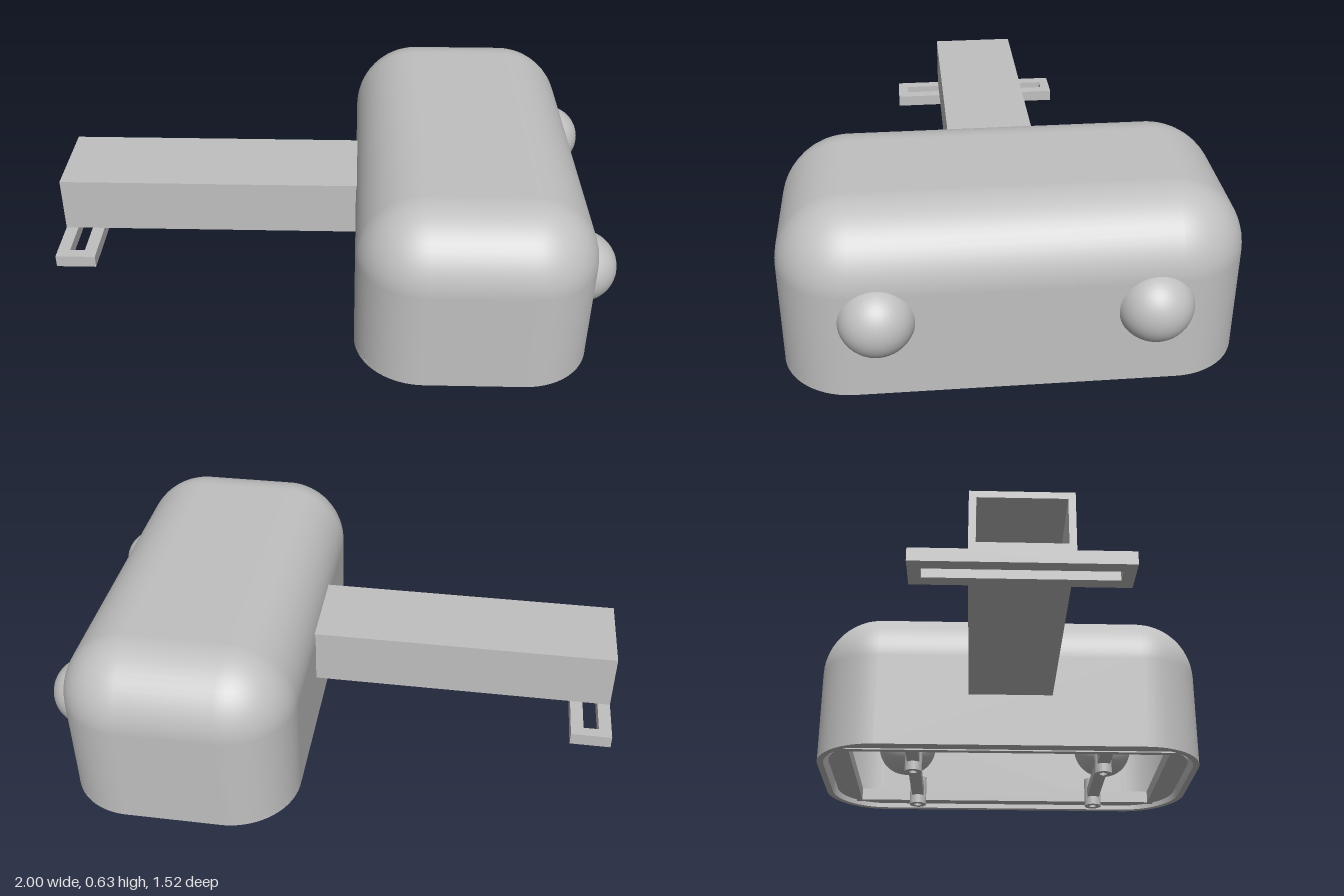
import * as THREE from 'three';

const grey = new THREE.MeshStandardMaterial({ color: 0xc0c0c0 });
grey.name = 'light grey';

const CX = 0.5; // body centre in x
const HX = 0.41, HZ = 0.762, R = 0.24; // body half sizes and corner radius
const BOTTOM = 0.017, ARC_Y = 0.392;

function add(parent, name, geometry, x = 0, y = 0, z = 0) {
  const mesh = new THREE.Mesh(geometry, grey);
  mesh.name = name;
  mesh.position.set(x, y, z);
  parent.add(mesh);
  return mesh;
}

// Open-bottomed rounded dome; inward flips it to form the inner skin
function domeGeometry(radius, inward) {
  const N = 14, M = 14, pos = [], nor = [], idx = [], s = inward ? -1 : 1;
  const cols = 4 * (N + 1);
  for (let row = 0; row <= M + 1; row++) {
    const a = Math.max(0, row - 1) / M * Math.PI / 2;
    for (let c = 0; c < 4; c++) {
      const cx = (c === 0 || c === 3 ? 1 : -1) * (HX - R);
      const cz = (c < 2 ? 1 : -1) * (HZ - R);
      for (let i = 0; i <= N; i++) {
        const t = (c + i / N) * Math.PI / 2;
        const n = [Math.cos(t) * Math.cos(a), Math.sin(a), Math.sin(t) * Math.cos(a)];
        pos.push(cx + radius * n[0], row === 0 ? BOTTOM : ARC_Y + radius * n[1], cz + radius * n[2]);
        nor.push(s * n[0], s * n[1], s * n[2]);
      }
    }
  }
  const tri = (a, b, c) => (inward ? idx.push(a, c, b) : idx.push(a, b, c));
  for (let row = 0; row <= M; row++) {
    for (let i = 0; i < cols; i++) {
      const a = row * cols + i, b = row * cols + (i + 1) % cols;
      tri(a, a + cols, b);
      tri(b, a + cols, b + cols);
    }
  }
  // flat roof between the four corner centres
  const top = (M + 1) * cols, k = N + 1;
  tri(top, top + 2 * k, top + k);
  tri(top, top + 3 * k, top + 2 * k);
  const g = new THREE.BufferGeometry();
  g.setAttribute('position', new THREE.Float32BufferAttribute(pos, 3));
  g.setAttribute('normal', new THREE.Float32BufferAttribute(nor, 3));
  g.setIndex(idx);
  return g;
}

// Rounded rectangle outline
function outline(Type, hx, hy, r) {
  const p = new Type();
  if (r === 0) {
    p.moveTo(-hx, -hy).lineTo(hx, -hy).lineTo(hx, hy).lineTo(-hx, hy);
  } else {
    p.absarc(hx - r, hy - r, r, 0, Math.PI / 2);
    p.absarc(r - hx, hy - r, r, Math.PI / 2, Math.PI);
    p.absarc(r - hx, r - hy, r, Math.PI, Math.PI * 1.5);
    p.absarc(hx - r, r - hy, r, Math.PI * 1.5, Math.PI * 2);
  }
  p.closePath();
  return p;
}

// Extruded frame from an outer and an inner outline
function frame(outer, holes, depth) {
  const shape = outline(THREE.Shape, ...outer);
  for (const h of holes) shape.holes.push(outline(THREE.Path, ...h));
  return new THREE.ExtrudeGeometry(shape, { depth, bevelEnabled: false, curveSegments: 14 });
}

export function createModel() {
  const model = new THREE.Group();
  model.name = 'sensorHousing';

  // Hollow housing
  const body = new THREE.Group();
  body.name = 'housing';
  body.position.x = CX;
  model.add(body);
  const wall = 0.025;
  add(body, 'outerShell', domeGeometry(R, false));
  add(body, 'innerShell', domeGeometry(R - wall, true));
  add(body, 'bottomRim', frame([HX, HZ, R], [[HX - wall, HZ - wall, R - wall]], 0.012), 0, BOTTOM + 0.012)
    .rotation.x = Math.PI / 2;

  // Recessed base ledge and its rectangular frame
  add(body, 'baseLedge', frame([0.365, 0.717, 0.195], [[0.315, 0.64, 0]], 0.02), 0, 0.05)
    .rotation.x = Math.PI / 2;
  add(body, 'baseFrame', frame([0.325, 0.65, 0], [[0.3, 0.625, 0]], 0.05), 0, 0.075)
    .rotation.x = Math.PI / 2;

  // Cross bars with hollow screw bosses
  const boss = [[0.016, 0], [0.035, 0], [0.035, 0.12], [0.016, 0.12], [0.016, 0]]
    .map(([x, y]) => new THREE.Vector2(x, y));
  const bossGeometry = new THREE.LatheGeometry(boss, 24).toNonIndexed();
  bossGeometry.computeVertexNormals();
  for (const z of [-0.382, 0.382]) {
    add(body, 'crossBar', new THREE.BoxGeometry(0.62, 0.04, 0.05), 0, 0.055, z);
    for (const x of [-0.14, 0.285]) add(body, 'screwBoss', bossGeometry, x, 0, z);
  }

  // Domed eyes on the outer side
  for (const z of [-0.442, 0.442]) {
    add(model, 'eye', new THREE.SphereGeometry(0.126, 40, 28), 0.874, 0.295, z);
  }

  // Square tube arm
  add(model, 'arm', frame([0.163, 0.102, 0], [[0.14, 0.079, 0]], 1.1), -1, 0.327, 0)
    .rotation.y = Math.PI / 2;

  // Slotted mounting plate below the arm end
  add(model, 'mountingPlate', frame([0.072, 0.345, 0], [[0.027, 0.305, 0]], 0.045), -0.928, 0.225, 0)
    .rotation.x = Math.PI / 2;

  return model;
}
